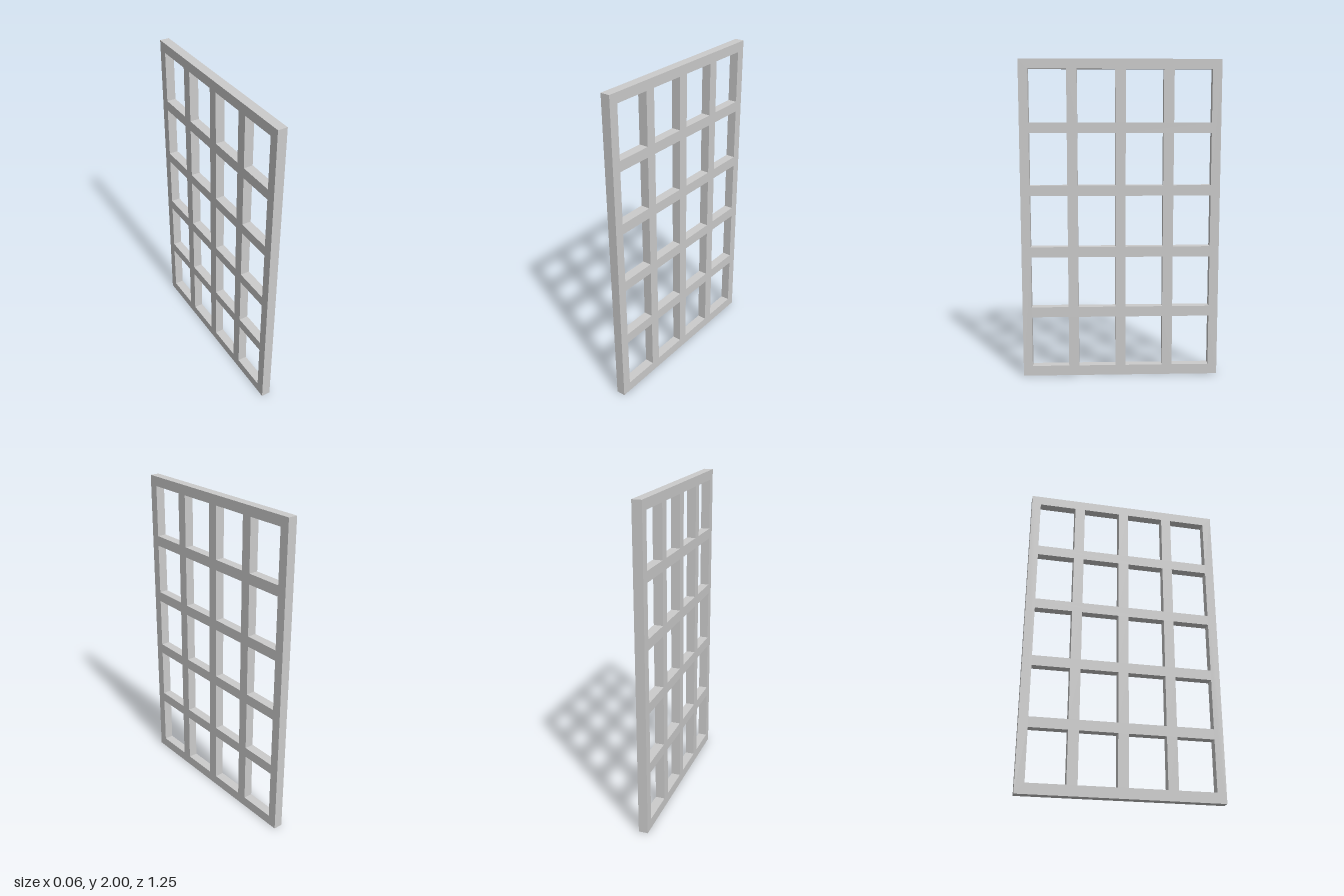
import * as THREE from 'three';

export function createModel() {
  const group = new THREE.Group();
  group.name = 'lattice';
  const width = 1.245, height = 2, depth = 0.058;
  const cols = 4, rows = 5;
  const holeW = 0.234, holeH = 0.323;
  const pitchW = 0.2985, pitchH = 0.388;

  // Closed rectangle, centred on (cx, cy)
  const rect = (path, cx, cy, w, h) => {
    path.moveTo(cx - w / 2, cy - h / 2);
    path.lineTo(cx + w / 2, cy - h / 2);
    path.lineTo(cx + w / 2, cy + h / 2);
    path.lineTo(cx - w / 2, cy + h / 2);
    path.closePath();
    return path;
  };

  // Panel outline with a regular grid of openings
  const panel = rect(new THREE.Shape(), 0, height / 2, width, height);
  for (let c = 0; c < cols; c++) {
    for (let r = 0; r < rows; r++) {
      const cx = (c - (cols - 1) / 2) * pitchW;
      const cy = height / 2 + (r - (rows - 1) / 2) * pitchH + 0.002;
      panel.holes.push(rect(new THREE.Path(), cx, cy, holeW, holeH));
    }
  }

  // Extrude, then turn the panel to face sideways
  const geometry = new THREE.ExtrudeGeometry(panel, { depth, bevelEnabled: false });
  geometry.translate(0, 0, -depth / 2);
  geometry.rotateY(Math.PI / 2);

  const frame = new THREE.Mesh(
    geometry,
    new THREE.MeshStandardMaterial({ color: 0xcccccc, flatShading: true })
  );
  frame.name = 'windowFrame';
  group.add(frame);
  return group;
}
